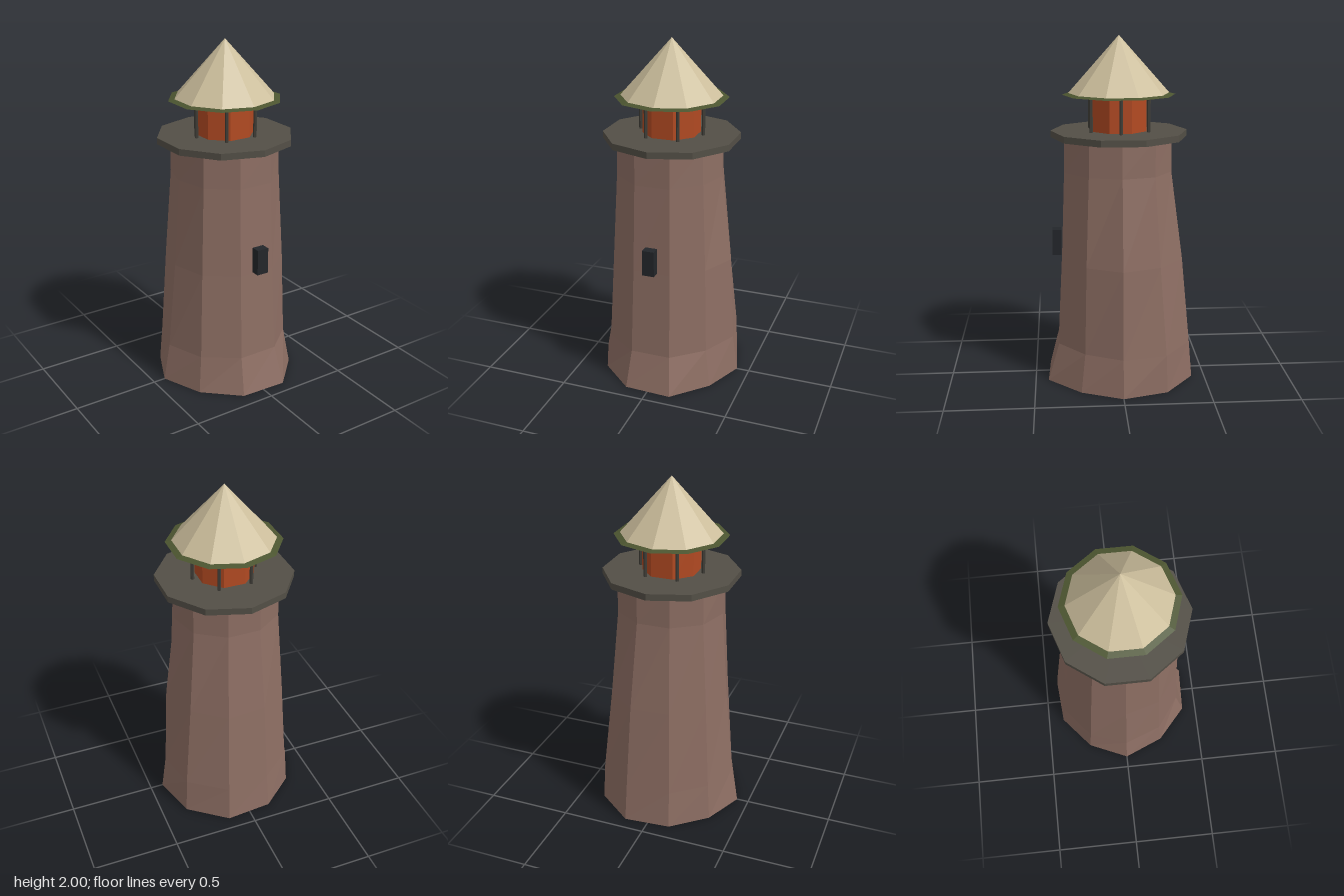
import * as THREE from 'three';

const mat = (name, color) => {
  const m = new THREE.MeshStandardMaterial({ color, flatShading: true });
  m.name = name;
  return m;
};

// Uneven ten-sided tower: one radius per corner, starting at +x and turning towards the back
const RINGS = [
  { y: 0.0, r: [0.425, 0.437, 0.447, 0.424, 0.404, 0.43, 0.408, 0.435, 0.447, 0.401] },
  { y: 0.22, r: [0.395, 0.425, 0.428, 0.4, 0.385, 0.39, 0.38, 0.378, 0.378, 0.36] },
  { y: 0.73, r: [0.37, 0.366, 0.378, 0.36, 0.35, 0.34, 0.35, 0.35, 0.35, 0.34] },
  { y: 1.24, r: [0.305, 0.315, 0.308, 0.305, 0.31, 0.305, 0.32, 0.33, 0.328, 0.31] },
  { y: 1.45, r: [0.3, 0.315, 0.307, 0.305, 0.31, 0.315, 0.315, 0.326, 0.326, 0.305] },
];

function towerGeometry() {
  const n = 10, pos = [], idx = [];
  for (const { y, r } of RINGS) {
    r.forEach((rad, k) => {
      const a = (k / n) * Math.PI * 2;
      pos.push(rad * Math.cos(a), y, -rad * Math.sin(a));
    });
  }
  const last = RINGS.length - 1;
  for (let j = 0; j < last; j++) {
    for (let k = 0; k < n; k++) {
      const a = j * n + k, b = j * n + (k + 1) % n;
      idx.push(a, b, b + n, a, b + n, a + n);
    }
  }
  // bottom and top caps
  const bottom = pos.length / 3, top = bottom + 1;
  pos.push(0, 0, 0, 0, RINGS[last].y, 0);
  for (let k = 0; k < n; k++) {
    const k2 = (k + 1) % n;
    idx.push(bottom, k2, k, top, last * n + k, last * n + k2);
  }
  const g = new THREE.BufferGeometry();
  g.setAttribute('position', new THREE.Float32BufferAttribute(pos, 3));
  g.setIndex(idx);
  const flat = g.toNonIndexed();
  flat.computeVertexNormals();
  return flat;
}

export function createModel() {
  const model = new THREE.Group();
  model.name = 'lighthouse';

  const brick = mat('brick', 0x8d6e63);
  const stone = mat('gallery stone', 0x534f46);
  const iron = mat('post iron', 0x403e38);
  const glow = mat('lantern orange', 0xb24a22);
  const green = mat('eave green', 0x4c5530);
  const cream = mat('roof cream', 0xcdbf9d);
  const dark = mat('window dark', 0x23262a);

  const add = (name, geo, material, x, y, z) => {
    const mesh = new THREE.Mesh(geo, material);
    mesh.name = name;
    mesh.position.set(x, y, z);
    model.add(mesh);
    return mesh;
  };
  // Prism or frustum standing between two heights
  const drum = (name, material, rTop, rBottom, y0, y1, sides, turn = 0, x = 0.002, z = 0) =>
    add(name, new THREE.CylinderGeometry(rTop, rBottom, y1 - y0, sides, 1, false, turn), material, x, (y0 + y1) / 2, z);

  add('tower', towerGeometry(), brick, 0, 0, 0);
  add('window', new THREE.BoxGeometry(0.07, 0.15, 0.052), dark, 0.002, 0.815, 0.363);

  drum('gallery', stone, 0.39, 0.39, 1.43, 1.467, 10);
  drum('lantern', glow, 0.165, 0.165, 1.46, 1.675, 8, Math.PI / 8);

  // Six thin posts around the lantern
  for (let i = 0; i < 6; i++) {
    const a = (i / 6) * Math.PI * 2;
    drum('post', iron, 0.01, 0.01, 1.46, 1.675, 6, 0, 0.002 + 0.187 * Math.cos(a), 0.187 * Math.sin(a));
  }

  // Shallow eave with the steep roof standing on it
  drum('eave', green, 0.275, 0.322, 1.67, 1.682, 10);
  add('roof', new THREE.ConeGeometry(0.29, 0.325, 10), cream, 0.002, 1.8375, 0);

  return model;
}
